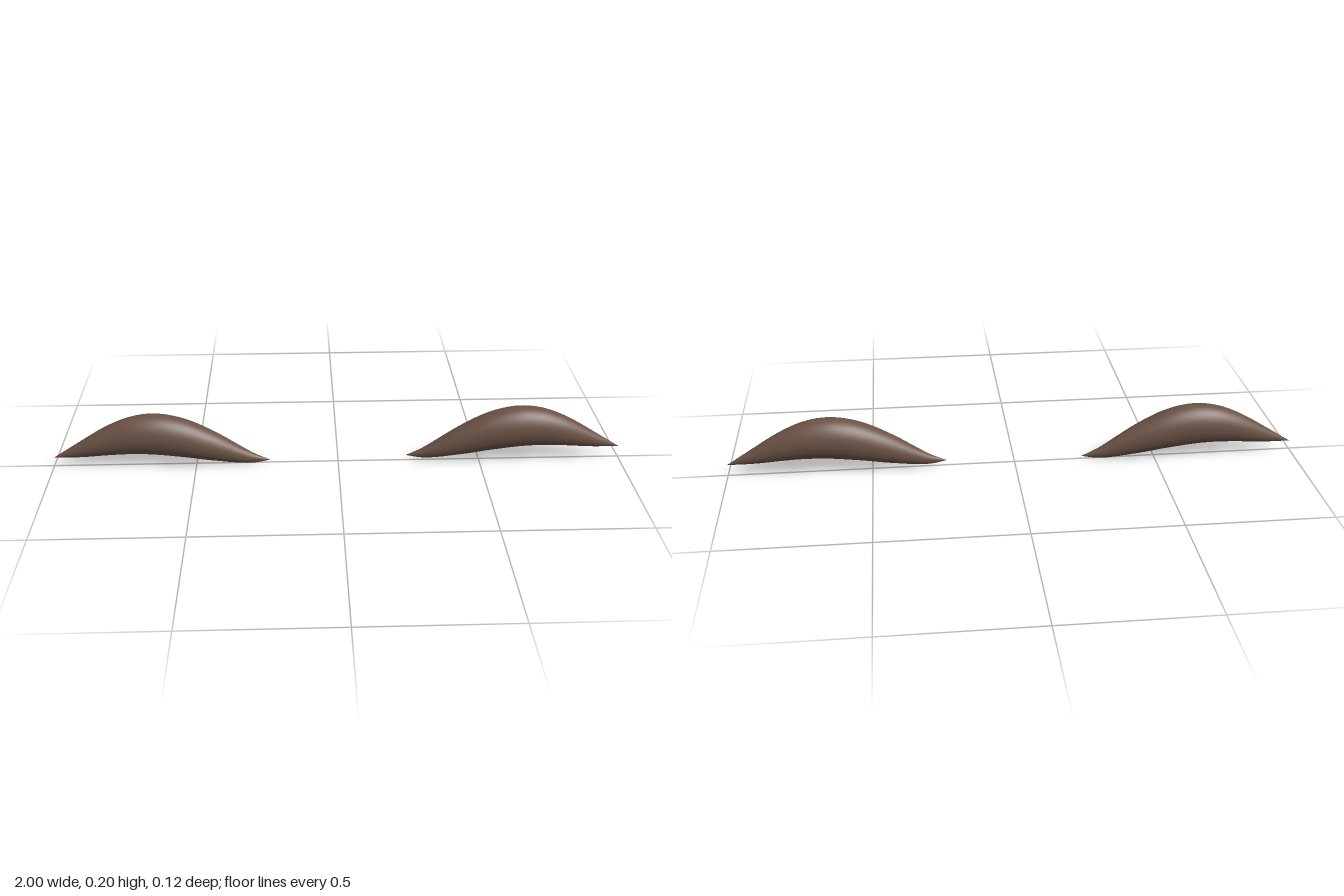
import * as THREE from 'three';
import { mergeVertices } from 'three/addons/utils/BufferGeometryUtils.js';

const INNER = 0.24, LENGTH = 0.76;        // inner tip and span along x
const HALF_HEIGHT = 0.075, HALF_DEPTH = 0.06;

// arched centre line, from the inner tip to the outer tip
const centreLine = new THREE.CatmullRomCurve3([
  [0.24, 0.021], [0.3, 0.03], [0.44, 0.081], [0.54, 0.113], [0.64, 0.129],
  [0.72, 0.126], [0.8, 0.109], [0.92, 0.069], [1, 0.043],
].map(([x, y]) => new THREE.Vector3(x, y, 0)));
const samples = centreLine.getPoints(300);

function centreY(x) {
  const i = Math.max(1, samples.findIndex((p) => p.x >= x - 1e-6));
  const a = samples[i - 1], b = samples[i];
  return THREE.MathUtils.mapLinear(x, a.x, b.x, a.y, b.y);
}

// a sphere with its poles along x, stretched and bent onto the centre line
function browGeometry(side, lift) {
  let geo = new THREE.SphereGeometry(1, 40, 48);
  geo.rotateZ(-Math.PI / 2);
  geo.deleteAttribute('uv');
  geo.deleteAttribute('normal');
  const pos = geo.attributes.position;
  for (let i = 0; i < pos.count; i++) {
    const t = Math.acos(THREE.MathUtils.clamp(-pos.getX(i) * side, -1, 1)) / Math.PI;
    const x = INNER + LENGTH * t;
    pos.setXYZ(i, side * x,
      centreY(x) + pos.getY(i) * HALF_HEIGHT + lift,
      pos.getZ(i) * HALF_DEPTH);
  }
  geo = mergeVertices(geo, 1e-5);
  geo.computeVertexNormals();
  return geo;
}

export function createModel() {
  const group = new THREE.Group();
  group.name = 'eyebrows';
  const hair = new THREE.MeshStandardMaterial({ color: 0x6b5245 });

  // the right brow sits slightly lower than the left
  for (const [name, side, lift] of [['leftEyebrow', 1, 0], ['rightEyebrow', -1, -0.009]]) {
    const brow = new THREE.Mesh(browGeometry(side, lift), hair);
    brow.name = name;
    group.add(brow);
  }
  return group;
}
